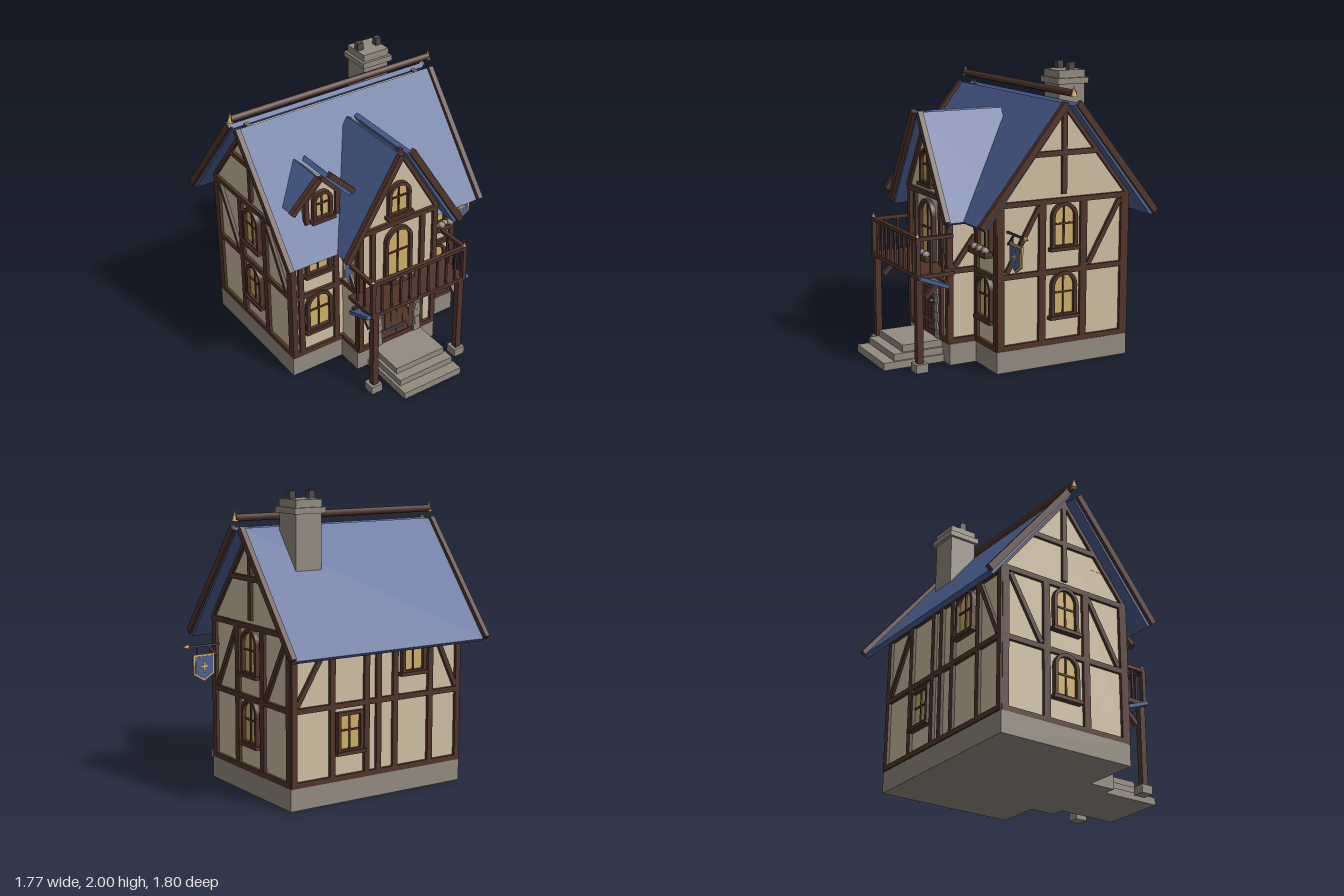
import * as THREE from 'three';

const material = (name, color) => Object.assign(new THREE.MeshStandardMaterial({ color }), { name });
const M = {
  plaster: material('plaster', 0xcfbfa2),
  timber: material('timber', 0x50342a),
  door: material('door wood', 0x5c3d2e),
  roof: material('blue tile', 0x4a6092),
  stone: material('stone', 0x938b7f),
  iron: material('iron', 0x4b4848),
  glass: material('warm glass', 0xcfae68),
  gold: material('gold', 0xd2aa62),
};

function add(parent, name, geometry, mat, x = 0, y = 0, z = 0) {
  const mesh = new THREE.Mesh(geometry, mat);
  mesh.name = name;
  mesh.position.set(x, y, z);
  parent.add(mesh);
  return mesh;
}

function group(parent, name, x = 0, y = 0, z = 0, turn = 0) {
  const g = new THREE.Group();
  g.name = name;
  g.position.set(x, y, z);
  g.rotation.y = turn;
  parent.add(g);
  return g;
}

// Box given by its limits on each axis
function block(parent, name, mat, x0, x1, y0, y1, z0, z1) {
  const geo = new THREE.BoxGeometry(x1 - x0, y1 - y0, z1 - z0);
  return add(parent, name, geo, mat, (x0 + x1) / 2, (y0 + y1) / 2, (z0 + z1) / 2);
}

// Beam between two points in the local xy plane
function beam(parent, name, mat, x0, y0, x1, y1, w = 0.04, d = 0.03, z = 0.006) {
  const geo = new THREE.BoxGeometry(Math.hypot(x1 - x0, y1 - y0), w, d);
  const mesh = add(parent, name, geo, mat, (x0 + x1) / 2, (y0 + y1) / 2, z);
  mesh.rotation.z = Math.atan2(y1 - y0, x1 - x0);
  return mesh;
}
const timbers = (g, list, w) => list.forEach((p) => beam(g, 'timber', M.timber, ...p, w));

const extrude = (shape, depth) => new THREE.ExtrudeGeometry(shape, { depth, bevelEnabled: false, curveSegments: 12 });

function outline(w, h, arched, inset = 0, Type = THREE.Shape) {
  const r = w / 2 - inset, s = new Type();
  s.moveTo(-r, inset).lineTo(r, inset);
  if (arched) s.lineTo(r, h - w / 2).absarc(0, h - w / 2, r, 0, Math.PI, false);
  else s.lineTo(r, h - inset).lineTo(-r, h - inset);
  s.closePath();
  return s;
}

// Window with frame, glass, glazing bars and sill
function windowUnit(parent, x, y, w = 0.195, h = 0.31, arched = true, sill = true) {
  const g = group(parent, 'window', x, y, 0);
  const frame = outline(w, h, arched);
  frame.holes.push(outline(w, h, arched, 0.024, THREE.Path));
  add(g, 'windowFrame', extrude(frame, 0.032), M.timber);
  add(g, 'windowGlass', extrude(outline(w, h, arched, 0.02), 0.008), M.glass);
  block(g, 'glazingBar', M.timber, -0.006, 0.006, 0.01, h - 0.01, 0, 0.016);
  block(g, 'glazingBar', M.timber, -w / 2 + 0.01, w / 2 - 0.01, h * 0.52, h * 0.52 + 0.012, 0, 0.016);
  if (sill) block(g, 'windowSill', M.timber, -w / 2 - 0.015, w / 2 + 0.015, -0.012, 0.012, 0, 0.045);
}

// House-shaped block extruded along local z
function gableBlock(parent, name, half, y0, eave, apex, z0, z1) {
  const s = new THREE.Shape([[-half, y0], [half, y0], [half, eave], [0, apex], [-half, eave]].map((p) => new THREE.Vector2(...p)));
  add(parent, name, extrude(s, z1 - z0), M.plaster, 0, 0, z0);
}

// Two sloping panels from (xTop, yTop) to (xLow, yLow), with bargeboards at the given z
function gableRoof(parent, xTop, yTop, xLow, yLow, z0, z1, boards, w = 0.045) {
  const len = Math.hypot(xLow - xTop, yTop - yLow);
  const nx = (yTop - yLow) / len * 0.028, ny = (xLow - xTop) / len * 0.028;
  for (const s of [-1, 1]) {
    beam(parent, 'roofPanel', M.roof, s * xTop, yTop, s * xLow, yLow, 0.034, z1 - z0, (z0 + z1) / 2);
    for (const z of boards)
      beam(parent, 'bargeboard', M.timber, s * (xTop + nx * 0.6), yTop + ny * 0.6, s * (xLow + nx), yLow + ny, w, 0.036, z);
  }
}

// Row of small round plants in a box
function planter(parent, x, y, z, w) {
  const g = group(parent, 'windowBox', x, y, z);
  block(g, 'planterBox', M.timber, -w / 2, w / 2, -0.02, 0.02, -0.03, 0.03);
  for (let i = 0; i < 6; i++)
    add(g, 'plant', new THREE.IcosahedronGeometry(0.022 + (i % 2) * 0.004, 1), M.stone, (i / 5 - 0.5) * (w - 0.05), 0.028, (i % 2) * 0.012);
}

function shield(w, h) {
  return new THREE.Shape([[-w, 0], [w, 0], [w, -h * 0.74], [0, -h], [-w, -h * 0.74]].reverse().map((p) => new THREE.Vector2(...p)));
}

function hangingSign(parent) {
  const g = group(parent, 'hangingSign', 0.715, 0, 0.19);
  beam(g, 'signArm', M.iron, -0.12, 0.945, 0.12, 0.945, 0.014, 0.014, 0);
  beam(g, 'signBrace', M.iron, -0.11, 0.865, -0.035, 0.94, 0.012, 0.012, 0);
  const tip = add(g, 'armTip', new THREE.ConeGeometry(0.016, 0.045, 8), M.gold, 0.14, 0.945, 0);
  tip.rotation.z = -Math.PI / 2;
  for (const x of [-0.05, 0.05]) beam(g, 'signHanger', M.iron, x, 0.88, x, 0.945, 0.007, 0.007, 0);
  add(g, 'signBorder', extrude(shield(0.08, 0.185), 0.014), M.gold, 0, 0.887, -0.007);
  add(g, 'signField', extrude(shield(0.066, 0.158), 0.02), M.roof, 0, 0.873, -0.01);
  const star = new THREE.Shape();
  for (let i = 0; i < 8; i++) {
    const r = i % 2 ? 0.011 : 0.042, a = i * Math.PI / 4;
    star[i ? 'lineTo' : 'moveTo'](r * Math.cos(a), r * Math.sin(a));
  }
  add(g, 'signStar', extrude(star, 0.026), M.gold, 0, 0.805, -0.013);
}

export function createModel() {
  const root = new THREE.Group();
  root.name = 'timberHouse';

  // Stone base, steps
  const base = group(root, 'stoneBase');
  block(base, 'mainFoundation', M.stone, -0.76, 0.605, 0, 0.146, -0.725, 0.27);
  block(base, 'wingFoundation', M.stone, -0.36, 0.295, 0, 0.146, 0.26, 0.462);
  [[0.235, 0.165, 0.75], [0.255, 0.185, 0.82], [0.273, 0.2, 0.9]].forEach(([l, r, z], i) =>
    block(base, 'step', M.stone, -l, r, 0, 0.145 - i * 0.047, 0.45, z));

  // Main body and roof, with the ridge along x
  const main = group(root, 'mainBody', 0, 0, -0.228, Math.PI / 2);
  gableBlock(main, 'mainWalls', 0.483, 0.14, 1.125, 1.745, -0.737, 0.585);
  gableRoof(main, 0.03, 1.755, 0.633, 0.988, -0.84, 0.685, [-0.847, 0.688]);
  const ridge = add(main, 'ridgeBeam', new THREE.CylinderGeometry(0.024, 0.024, 1.57, 8), M.timber, 0, 1.83, -0.08);
  ridge.rotation.x = Math.PI / 2;
  for (const z of [-0.865, 0.705]) add(main, 'ridgeFinial', new THREE.ConeGeometry(0.024, 0.075, 6), M.gold, 0, 1.845, z);

  // Gable ends
  for (const s of [-1, 1]) {
    const g = group(root, s > 0 ? 'leftGableWall' : 'rightGableWall', s > 0 ? 0.585 : -0.737, 0, -0.228, s * Math.PI / 2);
    timbers(g, [0.165, 0.643, 1.118].map((y) => [-0.49, y, 0.49, y]), 0.036);
    timbers(g, [-0.47, -0.163, 0.15, 0.465].map((u) => [s * u, 0.15, s * u, 1.12]), 0.05);
    timbers(g, [-0.425, 0.19].map((u) => [s * u, 0.67, s * (u + 0.24), 1.09]), 0.032);
    timbers(g, [[-0.26, 1.432, 0.26, 1.432], [0, 1.16, 0, 1.74], [-0.5, 1.12, 0, 1.75], [0.5, 1.12, 0, 1.75]], 0.036);
    windowUnit(g, 0, 0.33);
    windowUnit(g, 0, 0.795);
  }

  // Long walls, front and back
  const front = group(root, 'frontWall', 0, 0, 0.255);
  timbers(front, [0.165, 0.637, 1.1].map((y) => [-0.755, y, 0.6, y]), 0.036);
  timbers(front, [-0.738, -0.68, -0.4, 0.3, 0.58].map((x) => [x, 0.15, x, 1.1]), 0.04);
  for (const x of [-0.543, 0.428]) {
    windowUnit(front, x, 0.33, 0.205, 0.31);
    windowUnit(front, x, 0.795, 0.195, 0.3);
  }
  planter(front, 0.43, 0.79, 0.05, 0.24);
  const back = group(root, 'backWall', 0, 0, -0.711, Math.PI);
  timbers(back, [0.165, 0.643, 1.1].map((y) => [-0.6, y, 0.755, y]), 0.036);
  timbers(back, [-0.58, -0.29, -0.02, 0.075, 0.21, 0.5, 0.735].map((x) => [x, 0.15, x, 1.1]), 0.04);
  timbers(back, [[-0.56, 0.67, -0.31, 1.08], [0.715, 0.67, 0.52, 1.08]], 0.032);
  windowUnit(back, -0.155, 0.33, 0.2, 0.27, false);
  windowUnit(back, 0.355, 0.795);

  // Front wing
  const wing = group(root, 'frontWing', -0.035, 0, 0);
  gableBlock(wing, 'wingWalls', 0.305, 0.14, 1.13, 1.65, 0, 0.455);
  gableRoof(wing, 0.028, 1.665, 0.437, 0.988, -0.07, 0.53, [0.541]);
  const face = group(wing, 'wingFront', 0, 0, 0.455);
  timbers(face, [0.165, 0.64, 1.115].map((y) => [-0.32, y, 0.325, y]), 0.036);
  timbers(face, [-0.3, -0.203, 0.2, 0.305].map((x) => [x, 0.15, x, 1.12]), 0.038);
  timbers(face, [[-0.32, 1.12, 0, 1.665], [0.32, 1.12, 0, 1.665]], 0.035);
  windowUnit(face, 0, 1.175, 0.18, 0.25);
  windowUnit(face, 0, 0.655, 0.22, 0.425);
  planter(face, 0, 0.685, 0.05, 0.2);
  for (const s of [-1, 1]) {
    const g = group(wing, 'wingSide', s * 0.305, 0, 0.36, s * Math.PI / 2);
    timbers(g, [0.165, 0.643, 1.1].map((y) => [-0.1, y, 0.1, y]), 0.036);
    timbers(g, [[-s * 0.09, 0.15, -s * 0.09, 1.1], [-s * 0.06, 0.67, s * 0.09, 0.87]], 0.034);
  }
  // Cloth banner beside the wing
  const cloth = group(root, 'wallBanner', -0.375, 0.875, 0.36);
  add(cloth, 'bannerBorder', extrude(shield(0.032, 0.18), 0.01), M.gold);
  add(cloth, 'bannerField', extrude(shield(0.025, 0.16), 0.016), M.roof, 0, -0.008, -0.003);

  // Entrance door with stone jambs
  const entry = group(root, 'entrance', -0.035, 0, 0.455);
  block(entry, 'doorLeaf', M.door, -0.14, 0.14, 0.147, 0.58, 0, 0.014);
  for (let i = -2; i <= 2; i++) block(entry, 'doorGroove', M.timber, i * 0.05 - 0.003, i * 0.05 + 0.003, 0.15, 0.58, 0, 0.017);
  for (const y of [0.24, 0.48]) block(entry, 'doorHinge', M.iron, -0.135, 0.08, y - 0.012, y + 0.012, 0, 0.021);
  add(entry, 'doorKnob', new THREE.SphereGeometry(0.016, 10, 8), M.iron, 0.083, 0.39, 0.028);
  for (const s of [-1, 1]) for (let i = 0; i < 7; i++)
    add(entry, 'jambStone', new THREE.BoxGeometry(i % 2 ? 0.042 : 0.056, 0.055, 0.04), M.stone, s * 0.162, 0.178 + i * 0.061, 0.012 + (i % 2) * 0.005);

  // Balcony on posts with a sloping canopy below
  const porch = group(root, 'balcony', -0.035, 0, 0);
  block(porch, 'balconyDeck', M.timber, -0.39, 0.39, 0.632, 0.662, 0.455, 0.722);
  const canopy = add(porch, 'canopy', new THREE.BoxGeometry(0.84, 0.026, 0.22), M.roof, 0, 0.607, 0.61);
  canopy.rotation.x = -0.37;
  block(porch, 'canopyBeam', M.timber, -0.4, 0.4, 0.575, 0.605, 0.505, 0.53);
  for (const s of [-1, 1]) {
    block(porch, 'postFooting', M.stone, s * 0.352 - 0.042, s * 0.352 + 0.042, 0, 0.06, 0.65, 0.738);
    block(porch, 'porchPost', M.timber, s * 0.352 - 0.022, s * 0.352 + 0.022, 0.06, 0.635, 0.675, 0.72);
    const brace = add(porch, 'postBrace', new THREE.BoxGeometry(0.03, 0.03, 0.13), M.timber, s * 0.352, 0.54, 0.605);
    brace.rotation.x = 0.76;
    block(porch, 'cornerPost', M.timber, s * 0.372 - 0.015, s * 0.372 + 0.015, 0.655, 0.905, 0.695, 0.725);
    add(porch, 'postFinial', new THREE.ConeGeometry(0.016, 0.04, 6), M.gold, s * 0.372, 0.925, 0.71);
    block(porch, 'sideRail', M.timber, s * 0.372 - 0.014, s * 0.372 + 0.014, 0.885, 0.91, 0.46, 0.72);
    for (const z of [0.53, 0.615]) block(porch, 'baluster', M.timber, s * 0.372 - 0.007, s * 0.372 + 0.007, 0.66, 0.89, z - 0.007, z + 0.007);
  }
  block(porch, 'frontRail', M.timber, -0.385, 0.385, 0.885, 0.91, 0.695, 0.725);
  for (let i = -4; i <= 4; i++) block(porch, 'baluster', M.timber, i * 0.075 - 0.007, i * 0.075 + 0.007, 0.66, 0.89, 0.703, 0.717);

  // Dormer
  const dormer = group(root, 'dormer', -0.5, 0, 0);
  gableBlock(dormer, 'dormerWalls', 0.12, 1.17, 1.38, 1.5, -0.02, 0.25);
  gableRoof(dormer, 0.028, 1.525, 0.225, 1.31, 0, 0.28, [0.288], 0.036);
  const dFace = group(dormer, 'dormerFront', 0, 0, 0.25);
  timbers(dFace, [[-0.118, 1.2, -0.118, 1.39], [0.118, 1.2, 0.118, 1.39], [-0.13, 1.37, 0, 1.51], [0.13, 1.37, 0, 1.51]], 0.032);
  windowUnit(dFace, 0, 1.205, 0.15, 0.215);

  // Chimney
  const chimney = group(root, 'chimney', 0.312, 0, -0.388);
  block(chimney, 'chimneyShaft', M.stone, -0.098, 0.098, 1.3, 1.86, -0.098, 0.098);
  block(chimney, 'chimneyCap', M.stone, -0.118, 0.118, 1.857, 1.897, -0.118, 0.118);
  block(chimney, 'chimneyCrown', M.stone, -0.1, 0.1, 1.897, 1.947, -0.1, 0.1);
  for (const x of [-0.074, 0.074]) block(chimney, 'chimneyPot', M.iron, x - 0.022, x + 0.022, 1.94, 2, -0.022, 0.022);

  hangingSign(root);
  return root;
}
